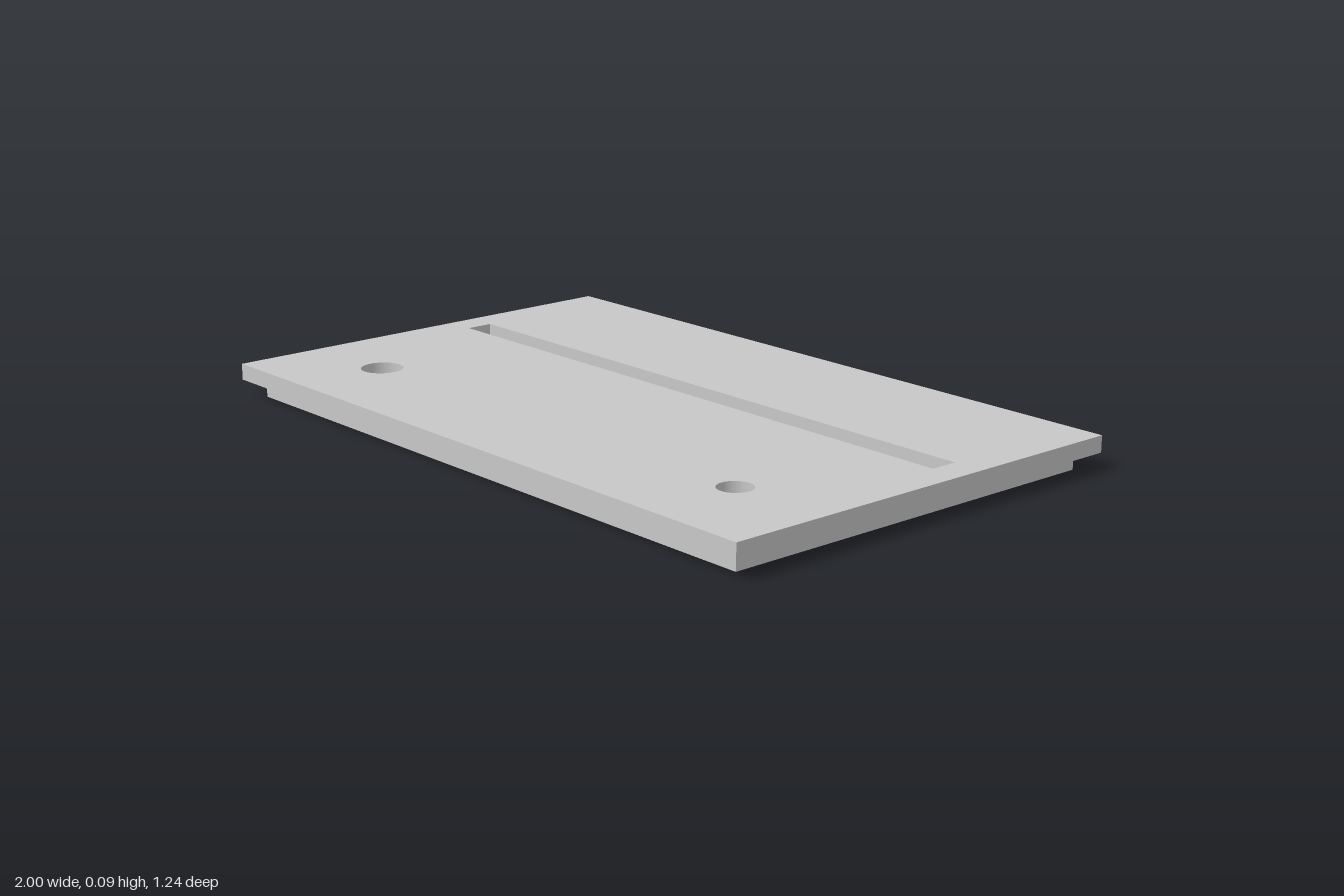
import * as THREE from 'three';

const W = 1, D = 0.621;           // half size of the top plate
const RIM_W = 0.95, RIM_D = 0.575; // half size of the rim underneath
const WALL = 0.035, RIM_H = 0.047, PLATE_H = 0.045;

// Closed rectangle between two corners, for a Shape or a Path
function rect(path, x0, y0, x1, y1) {
  path.moveTo(x0, y0);
  path.lineTo(x1, y0);
  path.lineTo(x1, y1);
  path.lineTo(x0, y1);
  path.closePath();
  return path;
}

function roundHole(x, z, r) {
  const path = new THREE.Path();
  path.absarc(x, -z, r, 0, Math.PI * 2, true);
  return path;
}

// Extrude a plan drawn in x and -z upwards from height y
function slab(name, shape, y, height, material) {
  const geometry = new THREE.ExtrudeGeometry(shape, {
    depth: height, bevelEnabled: false, curveSegments: 32,
  });
  geometry.rotateX(-Math.PI / 2);
  geometry.translate(0, y, 0);
  const mesh = new THREE.Mesh(geometry, material);
  mesh.name = name;
  return mesh;
}

export function createModel() {
  const group = new THREE.Group();
  group.name = 'slottedCover';
  const grey = new THREE.MeshStandardMaterial({ color: 0xc7c7c7 });
  grey.name = 'lightGrey';

  // Cover plate with a long slot and two round holes
  const plate = rect(new THREE.Shape(), -W, -D, W, D);
  plate.holes.push(
    rect(new THREE.Path(), -0.915, 0.097, 0.915, 0.174),
    roundHole(-0.71, 0.354, 0.058),
    roundHole(0.71, 0.354, 0.046),
  );
  group.add(slab('coverPlate', plate, RIM_H, PLATE_H, grey));

  // Thin locating rim under the plate
  const rim = rect(new THREE.Shape(), -RIM_W, -RIM_D, RIM_W, RIM_D);
  rim.holes.push(rect(new THREE.Path(), -RIM_W + WALL, -RIM_D + WALL, RIM_W - WALL, RIM_D - WALL));
  group.add(slab('locatingRim', rim, 0, RIM_H, grey));

  return group;
}
